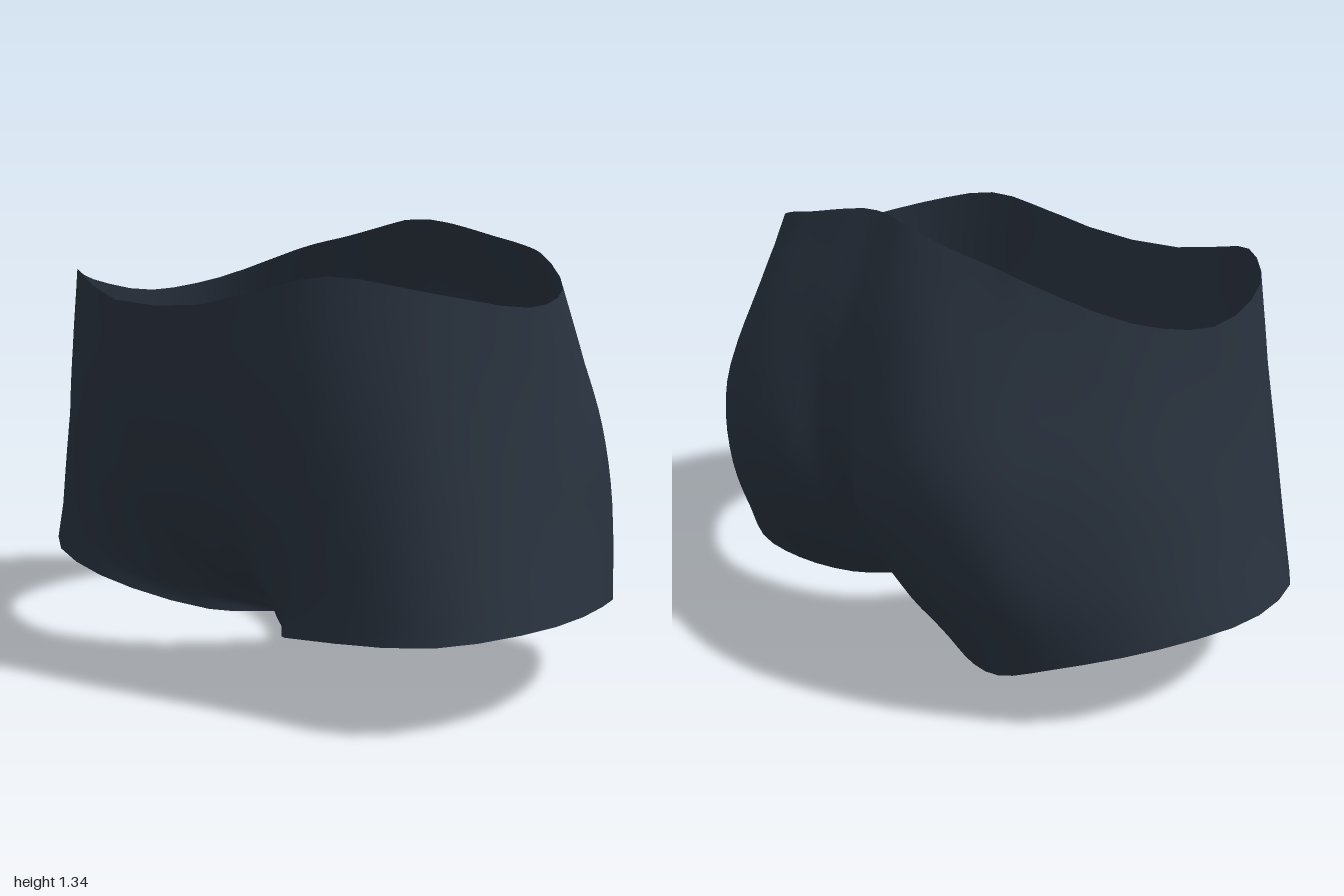
import * as THREE from 'three';
import { mergeVertices } from 'three/addons/utils/BufferGeometryUtils.js';

// Profiles of the left half, each running from waistband to leg hem (x, y, z triples).
const frontProfiles = [
  [0, 1.09, .65, 0, .8, .635, 0, .5, .535, 0, .265, .375, 0, .115, .04, .05, 0, .02], // centre seam
  [.2, 1.1, .65, .2, .78, .63, .18, .48, .545, .12, .22, .34, .07, .105, .13],
  [.36, 1.135, .615, .38, .8, .605, .36, .52, .575, .28, .28, .48, .18, .13, .34],
  [.57, 1.18, .535, .6, .86, .545, .59, .6, .55, .55, .39, .55, .47, .22, .545],
  [.75, 1.14, .36, .78, .9, .385, .81, .67, .41, .84, .45, .43, .865, .265, .45],
  [.835, 1.095, .06, .86, .9, .07, .9, .68, .09, .945, .48, .11, 1, .285, .13], // side
];
const backProfiles = [
  [.76, 1.135, -.18, .815, .92, -.2, .87, .7, -.215, .905, .48, -.215, .935, .28, -.21],
  [.55, 1.23, -.35, .635, 1, -.395, .705, .74, -.45, .735, .45, -.47, .735, .21, -.42],
  [.46, 1.255, -.375, .525, 1, -.485, .585, .72, -.575, .61, .43, -.56, .59, .15, -.475],
  [.33, 1.28, -.4, .37, 1, -.555, .4, .7, -.645, .42, .4, -.6, .42, .12, -.445],
  [.14, 1.32, -.415, .17, 1, -.55, .18, .6, -.64, .2, .28, -.5, .24, .108, -.36],
  [.06, 1.333, -.405, .07, .94, -.555, .08, .54, -.555, .1, .21, -.34, .135, .105, -.245],
  [0, 1.335, -.4, 0, .98, -.535, 0, .65, -.57, 0, .3, -.33, 0, .115, .04, .05, 0, .02], // centre seam
];

const ROWS = 20, SEAM_ROWS = 16;

// Samples one profile; the centre seams end in a straight crotch edge.
function sampleProfile(values) {
  const points = [];
  for (let i = 0; i < values.length; i += 3) points.push(new THREE.Vector3().fromArray(values, i));
  const hem = points.length === 6 ? points.pop() : null;
  const curve = new THREE.CatmullRomCurve3(points);
  if (!hem) return curve.getPoints(ROWS);
  const samples = curve.getPoints(SEAM_ROWS);
  for (let i = 1; i <= ROWS - SEAM_ROWS; i++) {
    samples.push(points[4].clone().lerp(hem, i / (ROWS - SEAM_ROWS)));
  }
  return samples;
}

// One loop around the half body: smooth between the seams, straight into them.
function halfLoop(points) {
  const inner = points.slice(1, -1);
  const first = points[0], last = points[points.length - 1];
  return [
    first, first.clone().lerp(inner[0], .5),
    ...new THREE.CatmullRomCurve3(inner).getPoints((inner.length - 1) * 3),
    last.clone().lerp(inner[inner.length - 1], .5), last,
  ];
}

// Lofts the half shell around the body and mirrors it across the centre seam.
function shellGeometry() {
  const profiles = [...frontProfiles, ...backProfiles].map(sampleProfile);
  const positions = [], indices = [];
  for (const side of [1, -1]) {
    const base = positions.length / 3;
    let width = 0;
    for (let r = 0; r <= ROWS; r++) {
      const loop = halfLoop(profiles.map((p) => p[r]));
      width = loop.length;
      for (const p of loop) positions.push(side * p.x, p.y, p.z);
    }
    for (let r = 0; r < ROWS; r++) {
      for (let c = 0; c < width - 1; c++) {
        const a = base + r * width + c, b = a + 1;
        const d = a + width, e = d + 1;
        if (side > 0) indices.push(a, d, b, b, d, e);
        else indices.push(a, b, d, b, e, d);
      }
    }
  }
  const geometry = new THREE.BufferGeometry();
  geometry.setAttribute('position', new THREE.Float32BufferAttribute(positions, 3));
  geometry.setIndex(indices);
  const welded = mergeVertices(geometry, 1e-4);
  welded.computeVertexNormals();
  return welded;
}

export function createModel() {
  const group = new THREE.Group();
  group.name = 'shorts';
  const fabric = new THREE.MeshStandardMaterial({ color: 0x28313d, side: THREE.DoubleSide });
  fabric.name = 'dark slate fabric';
  const shell = new THREE.Mesh(shellGeometry(), fabric);
  shell.name = 'shortsShell';
  group.add(shell);
  return group;
}
